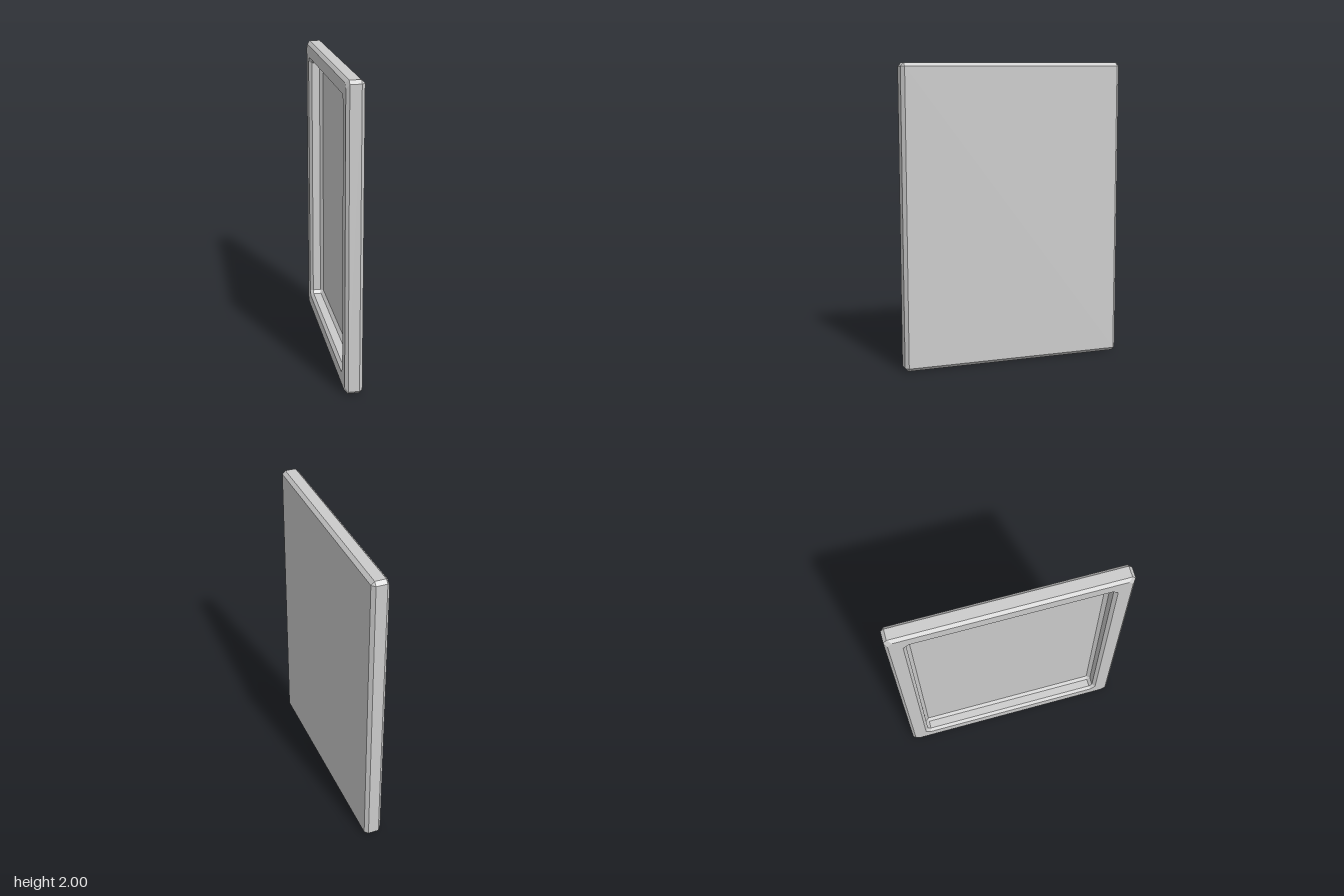
import * as THREE from 'three';

// Rectangle with cut corners at depth x, counterclockwise seen from +x
function loop([x, w, h, cut]) {
  const points = [];
  for (const [sz, sy, swap] of [[-1, -1, 0], [-1, 1, 1], [1, 1, 0], [1, -1, 1]]) {
    const a = new THREE.Vector3(x, 1 + sy * h, sz * (w - cut));
    const b = new THREE.Vector3(x, 1 + sy * (h - cut), sz * w);
    points.push(...(swap ? [b, a] : [a, b]));
  }
  return points;
}

// Skin consecutive sections, with an optional cap at the start or end
function skin(name, sections, { startCap = false, endCap = false } = {}) {
  const positions = [];
  const tri = (a, b, c) => {
    if (new THREE.Triangle(a, b, c).getArea() < 1e-9) return;
    for (const p of [a, b, c]) positions.push(p.x, p.y, p.z);
  };
  const loops = sections.map(loop);
  for (let s = 0; s + 1 < loops.length; s++) {
    const A = loops[s], B = loops[s + 1];
    for (let i = 0; i < 8; i++) {
      const j = (i + 1) % 8;
      tri(A[i], B[i], B[j]);
      tri(A[i], B[j], A[j]);
    }
  }
  const first = loops[0], last = loops[loops.length - 1];
  for (let k = 1; k < 7; k++) {
    if (startCap) tri(first[0], first[k], first[k + 1]);
    if (endCap) tri(last[0], last[k + 1], last[k]);
  }
  const geometry = new THREE.BufferGeometry();
  geometry.setAttribute('position', new THREE.Float32BufferAttribute(positions, 3));
  geometry.computeVertexNormals();
  const mesh = new THREE.Mesh(geometry, new THREE.MeshStandardMaterial({ color: 0xcccccc, flatShading: true }));
  mesh.name = name;
  return mesh;
}

export function createModel() {
  const group = new THREE.Group();
  group.name = 'framedPanel';

  // Sections: x, half depth, half height, corner cut
  const outerEdge = [-0.057, 0.739, 0.98, 0.03];
  const innerEdge = [-0.057, 0.655, 0.9, 0.035];

  group.add(
    // Flat side and bevelled outer edges
    skin('outerShell', [
      [0.057, 0.735, 0.978, 0],
      [0.035, 0.757, 1, 0.022],
      [-0.037, 0.757, 1, 0.022],
      outerEdge,
    ], { startCap: true }),
    // Flat border around the opening
    skin('frameBorder', [outerEdge, innerEdge]),
    // Bevelled recess with its floor
    skin('recess', [
      innerEdge,
      [-0.037, 0.635, 0.88, 0.022],
      [0.017, 0.635, 0.88, 0.022],
      [0.037, 0.613, 0.858, 0],
    ], { endCap: true }),
  );
  return group;
}
